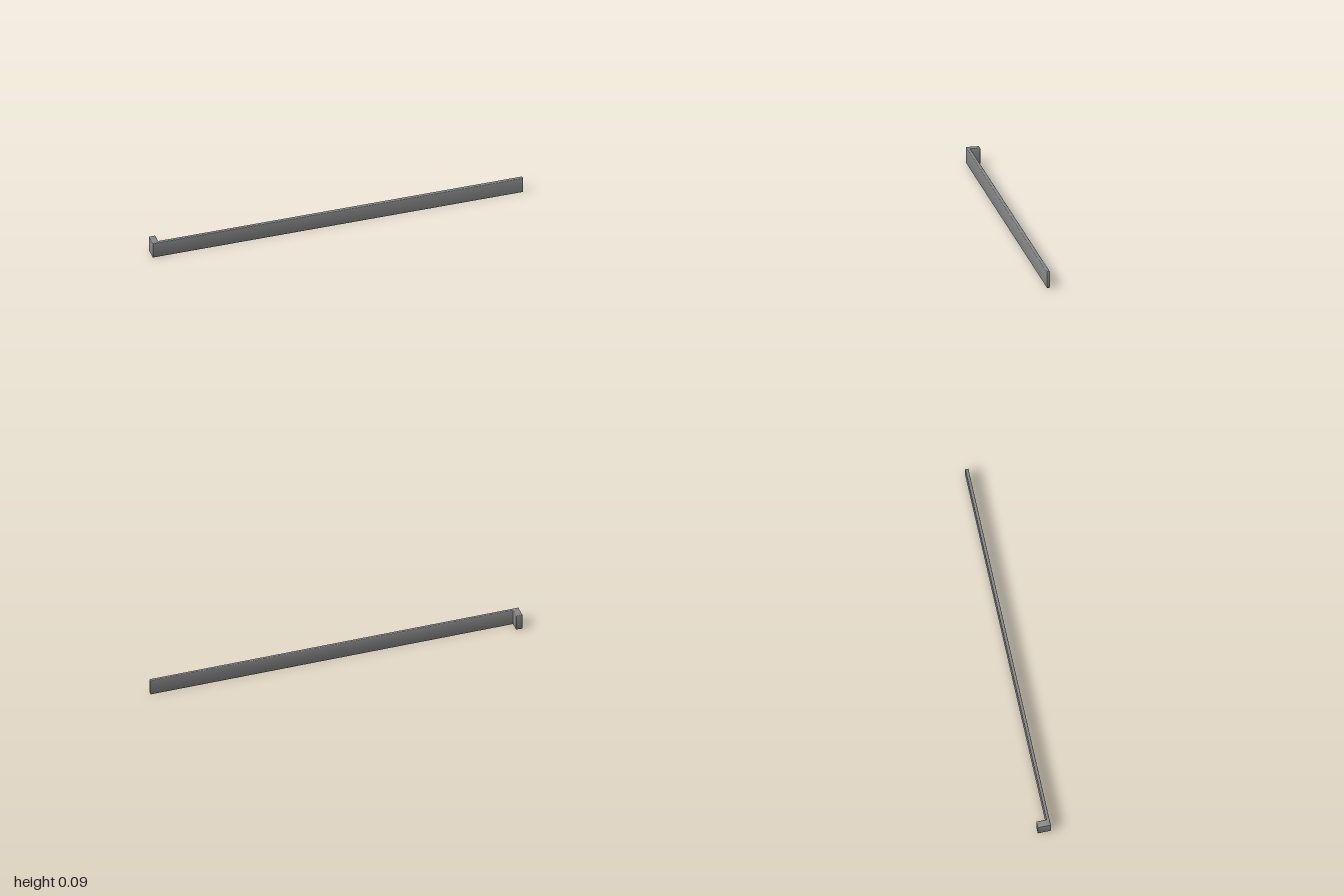
import * as THREE from 'three';
import { toCreasedNormals } from 'three/addons/utils/BufferGeometryUtils.js';

export function createModel() {
  const group = new THREE.Group();
  const height = 0.089, bevel = 0.004, chamfer = 0.002;
  const back = -0.034, inner = 0.018, front = 0.035, hook = -0.965;
  const material = new THREE.MeshStandardMaterial({ color: 0x888888 });

  // L-shaped plan (x, -z), with the free end of the return chamfered
  const outline = [
    [-1, -front], [1, -front], [1, -inner], [hook, -inner],
    [hook, -back - chamfer], [hook - chamfer, -back],
    [-1 + chamfer, -back], [-1, -back - chamfer],
  ].map(([x, y]) => new THREE.Vector2(x, y));

  // Long strip with a short return at one end, edges rounded top and bottom
  const geometry = new THREE.ExtrudeGeometry(new THREE.Shape(outline), {
    depth: height - 2 * bevel,
    bevelEnabled: true,
    bevelThickness: bevel,
    bevelSize: bevel,
    bevelOffset: -bevel,
    bevelSegments: 3,
  });
  geometry.rotateX(-Math.PI / 2);
  geometry.translate(0, bevel, 0);

  const bar = new THREE.Mesh(toCreasedNormals(geometry, 0.6), material);
  bar.name = 'hookedBar';
  group.add(bar);
  return group;
}
